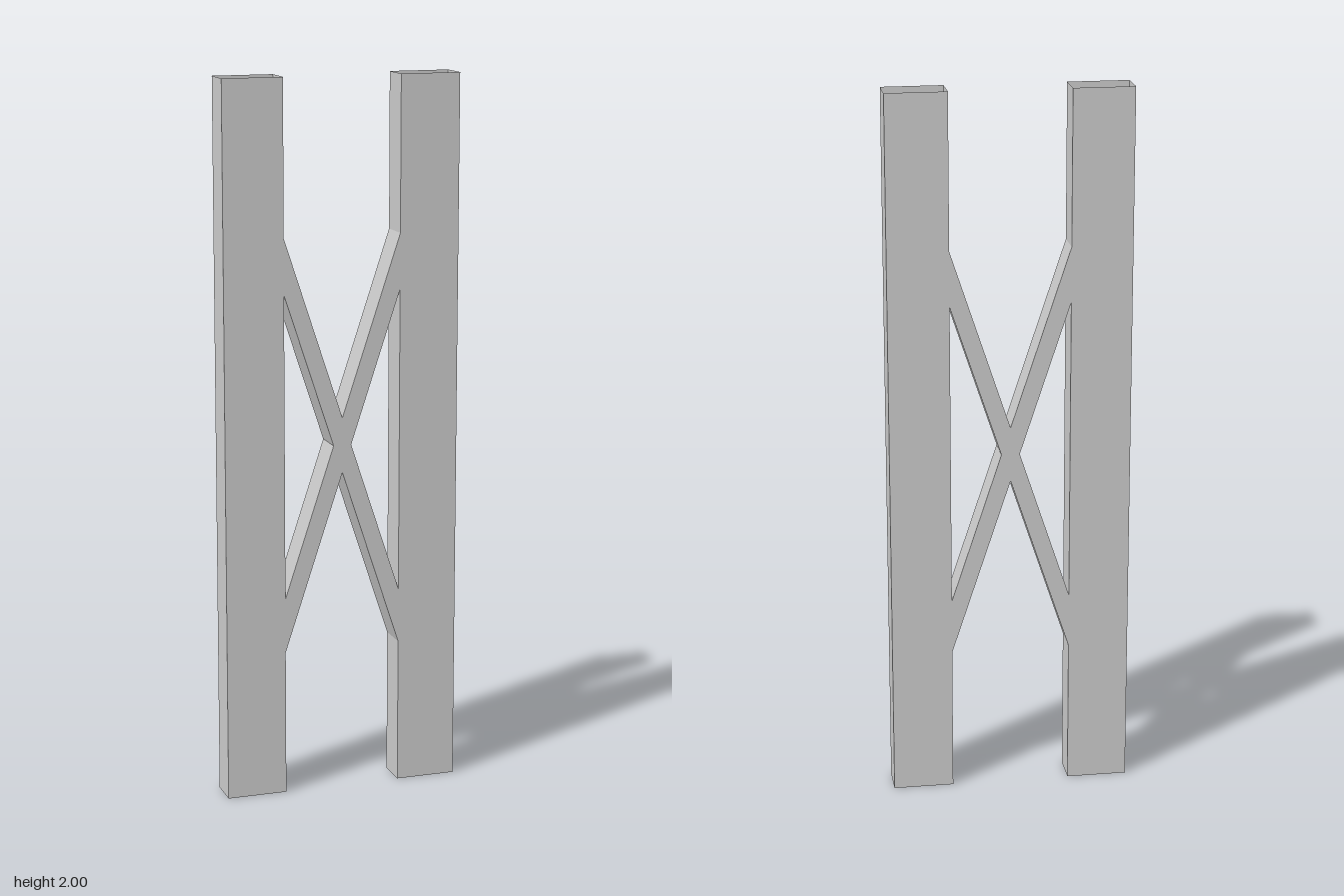
import * as THREE from 'three';

const DEPTH = 0.092;
const INNER = 0.166, OUTER = 0.335; // post faces, measured from the centre
const MID = 0.99; // height of the brace crossing
const RISE = 0.503; // rise of a brace from the crossing to a post
const HALF = 0.077; // half the upright thickness of a brace
const NOTCH = INNER * HALF / RISE; // half width of the crossing

const material = new THREE.MeshStandardMaterial({ color: 0xcccccc, flatShading: true, side: THREE.DoubleSide });

// Rectangular tube, open at both ends
function createPost(name, side) {
  const box = new THREE.BoxGeometry(OUTER - INNER, 2, DEPTH);
  const index = Array.from(box.index.array);
  index.splice(12, 12); // drop the top and bottom faces
  box.setIndex(index);
  box.clearGroups();
  const post = new THREE.Mesh(box, material);
  post.name = name;
  post.position.set(side * (INNER + OUTER) / 2, 1, 0);
  return post;
}

// Two diagonals merged into one X-shaped outline
function createCrossBrace() {
  const quarter = [[INNER, RISE - HALF], [INNER, RISE + HALF], [0, HALF]];
  const upper = [[NOTCH, 0], ...quarter, ...quarter.slice(0, 2).reverse().map(([x, y]) => [-x, y])];
  const outline = [...upper, ...upper.map(([x, y]) => [-x, -y])];
  const shape = new THREE.Shape(outline.map(([x, y]) => new THREE.Vector2(x, y)));
  const geometry = new THREE.ExtrudeGeometry(shape, { depth: DEPTH, bevelEnabled: false });
  geometry.translate(0, MID, -DEPTH / 2);
  const brace = new THREE.Mesh(geometry, material);
  brace.name = 'crossBrace';
  return brace;
}

export function createModel() {
  const model = new THREE.Group();
  model.name = 'bracedFrame';
  model.add(createPost('leftPost', 1), createPost('rightPost', -1), createCrossBrace());
  return model;
}
